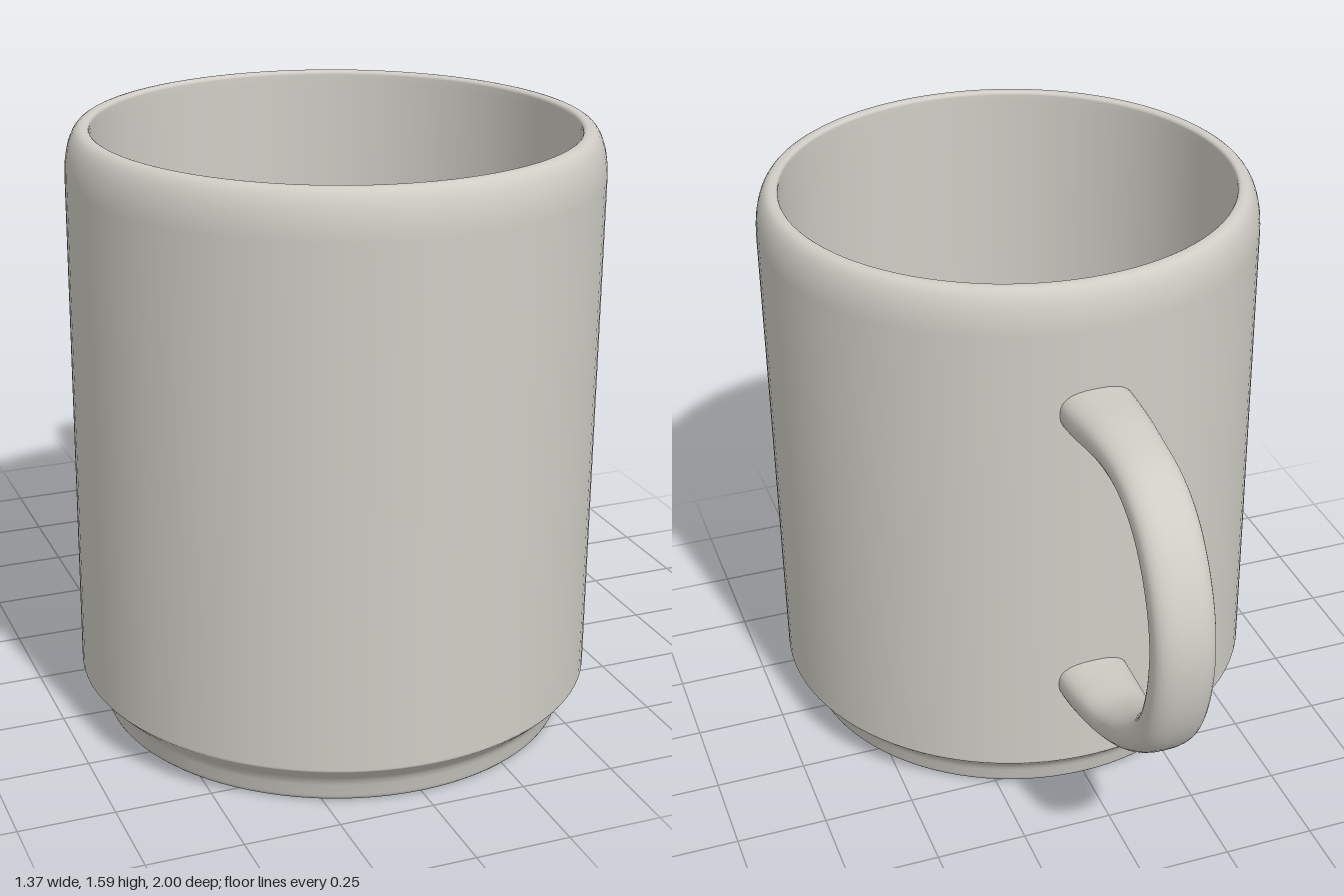
import * as THREE from 'three';

const CENTER_Z = 0.315;
const ceramic = new THREE.MeshStandardMaterial({ color: 0xcfcdc5 });
ceramic.name = 'warm grey ceramic';

// Quarter-ellipse arc between two angles, as profile points
function arc(cx, cy, rx, ry, from, to, steps) {
  return Array.from({ length: steps + 1 }, (_, i) => {
    const a = from + (to - from) * i / steps;
    return [cx + rx * Math.cos(a), cy + ry * Math.sin(a)];
  });
}

// Revolved wall: recessed base, stepped foot, straight side, rounded lip, hollow inside
function makeBody() {
  const h = Math.PI / 2;
  const profile = [
    [0, 0.035], [0.55, 0.035], [0.565, 0.033],
    ...arc(0.595, 0.025, 0.02, 0.025, 2 * h, 3 * h, 5),
    ...arc(0.605, 0.02, 0.018, 0.02, -h, 0, 5),
    [0.63, 0.05], [0.634, 0.065], [0.645, 0.08], [0.683, 0.118],
    [0.685, 0.121], [0.685, 0.125], [0.685, 0.8],
    ...arc(0.64, 1.47, 0.045, 0.12, 0, h, 10),
    [0.632, 1.59],
    ...arc(0.63, 1.58, 0.01, 0.01, h, 2 * h, 4),
    [0.62, 1.56], [0.62, 0.8],
    ...arc(0.53, 0.18, 0.09, 0.09, 0, -h, 8),
    [0.5, 0.09], [0, 0.09],
  ].map(([r, y]) => new THREE.Vector2(r, y));
  const mesh = new THREE.Mesh(new THREE.LatheGeometry(profile, 96), ceramic);
  mesh.name = 'mugBody';
  mesh.position.z = CENTER_Z;
  return mesh;
}

// Swept handle with a soft-cornered section that widens toward the wall
function makeHandle() {
  const path = new THREE.CatmullRomCurve3([
    [1.242, -0.335], [1.245, -0.42], [1.252, -0.56], [1.228, -0.72], [1.165, -0.825],
    [1.04, -0.91], [0.9, -0.947], [0.73, -0.93], [0.6, -0.87], [0.5, -0.755],
    [0.422, -0.6], [0.398, -0.48], [0.39, -0.4], [0.388, -0.335],
  ].map(([y, z]) => new THREE.Vector3(0, y, z)), false, 'centripetal');
  const rings = 72, sides = 28, positions = [], index = [];
  const soften = v => Math.sign(v) * Math.abs(v) ** 0.8;
  for (let i = 0; i <= rings; i++) {
    const c = path.getPointAt(i / rings), t = path.getTangentAt(i / rings);
    const flare = 1 - THREE.MathUtils.smoothstep(-c.z, 0.36, 0.66);
    const halfWidth = 0.082 + 0.018 * flare, halfThick = 0.052 + 0.01 * flare;
    for (let j = 0; j < sides; j++) {
      const a = j / sides * Math.PI * 2;
      const out = halfThick * soften(Math.sin(a));
      positions.push(halfWidth * soften(Math.cos(a)), c.y - t.z * out, c.z + t.y * out);
      if (i < rings) {
        const k = i * sides, n = (j + 1) % sides;
        index.push(k + j, k + sides + j, k + n, k + n, k + sides + j, k + sides + n);
      }
    }
  }
  const geometry = new THREE.BufferGeometry();
  geometry.setAttribute('position', new THREE.Float32BufferAttribute(positions, 3));
  geometry.setIndex(index);
  geometry.computeVertexNormals();
  const mesh = new THREE.Mesh(geometry, ceramic);
  mesh.name = 'handle';
  return mesh;
}

export function createModel() {
  const mug = new THREE.Group();
  mug.name = 'mug';
  mug.add(makeBody(), makeHandle());
  return mug;
}
